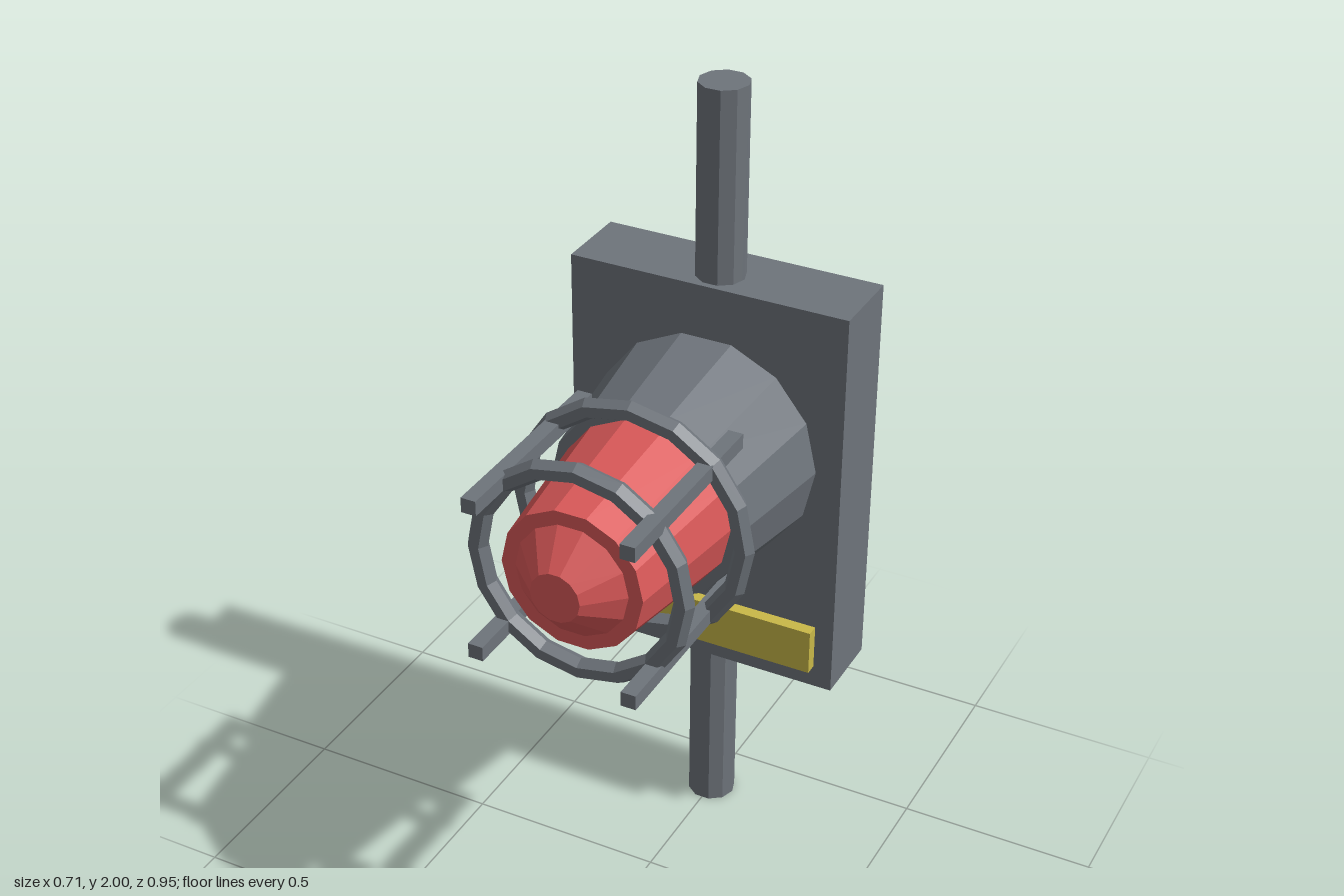
import * as THREE from 'three';

const AXIS_Y = 1.103; // height of the lamp axis

export function createModel() {
  const group = new THREE.Group();
  const make = (name, color) => {
    const m = new THREE.MeshStandardMaterial({ color, flatShading: true });
    m.name = name;
    return m;
  };
  const steel = make('grey steel', 0x6e747b);
  const red = make('red glass', 0xd95858);
  const yellow = make('yellow label', 0xc9b848);

  const add = (name, geometry, material, x, y, z) => {
    const mesh = new THREE.Mesh(geometry, material);
    mesh.name = name;
    mesh.position.set(x, y, z);
    group.add(mesh);
    return mesh;
  };

  // Faceted cone frustum lying along z, from z0 (radius r0) to z1 (radius r1)
  const frustum = (name, r0, r1, z0, z1, material) => {
    const g = new THREE.CylinderGeometry(r1, r0, z1 - z0, 14);
    g.rotateY(Math.PI / 2).rotateX(Math.PI / 2);
    return add(name, g, material, 0, AXIS_Y, (z0 + z1) / 2);
  };

  // Backing box, conduit and label plate
  add('backBox', new THREE.BoxGeometry(0.712, 1.035, 0.196), steel, 0, 1.005, -0.377);
  add('conduit', new THREE.CylinderGeometry(0.061, 0.061, 2, 10).rotateY(Math.PI / 2), steel, 0, 1, -0.353);
  add('labelPlate', new THREE.BoxGeometry(0.616, 0.118, 0.04), yellow, 0, 0.605, -0.268);

  // Lamp housing and lens
  frustum('housing', 0.292, 0.247, -0.285, 0.03, steel);
  frustum('lens', 0.222, 0.177, 0.02, 0.374, red);
  frustum('lensTip', 0.146, 0.062, 0.37, 0.449, red);

  // Guard cage: two hoops and four bars
  for (const [radius, z] of [[0.283, 0.09], [0.259, 0.338]]) {
    add('guardHoop', new THREE.TorusGeometry(radius, 0.026, 6, 16), steel, 0, AXIS_Y, z);
  }
  for (const sx of [-1, 1]) {
    for (const sy of [-1, 1]) {
      add('guardBar', new THREE.BoxGeometry(0.037, 0.037, 0.518), steel,
        sx * 0.193, AXIS_Y + sy * 0.193, 0.216);
    }
  }
  return group;
}
